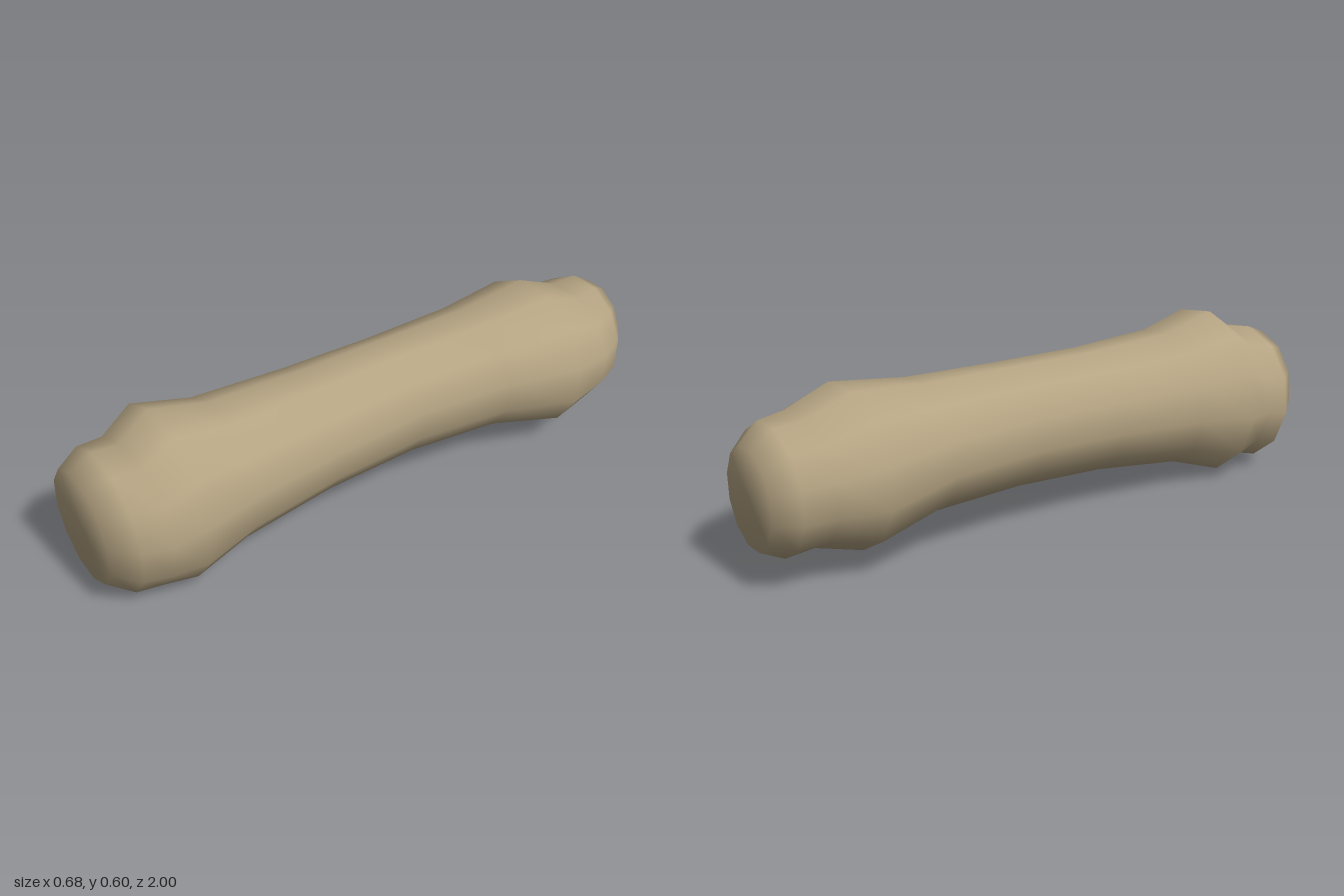
import * as THREE from 'three';

const SIDES = 12;

// Cross-sections from back to front: z, xMin, xMax, yMin, yMax, twist in degrees
const SECTIONS = [
  [-1.0, -0.06, 0.21, 0.14, 0.46, 14],
  [-0.92, -0.10, 0.28, 0.095, 0.51, 14],
  [-0.82, -0.125, 0.32, 0.10, 0.515, 14],
  [-0.67, -0.18, 0.34, 0.055, 0.575, 13],
  [-0.42, -0.165, 0.26, 0.12, 0.55, 11],
  [-0.1, -0.18, 0.20, 0.13, 0.545, 10],
  [0.22, -0.225, 0.18, 0.115, 0.54, 9],
  [0.54, -0.28, 0.18, 0.07, 0.55, 8],
  [0.73, -0.34, 0.20, 0.0, 0.60, 7],
  [0.84, -0.315, 0.18, 0.035, 0.525, 7],
  [0.92, -0.325, 0.13, 0.015, 0.515, 7],
  [1.0, -0.27, 0.07, 0.08, 0.48, 7],
];

// Skins the rings into one smooth closed shaft with knobbed ends
function loftGeometry(sections) {
  const positions = [];
  const index = [];

  for (const [z, x0, x1, y0, y1, twist] of sections) {
    const ring = [];
    for (let i = 0; i < SIDES; i++) {
      const a = THREE.MathUtils.degToRad(twist) + (i / SIDES) * Math.PI * 2;
      ring.push([Math.cos(a), Math.sin(a)]);
    }
    // Stretch the faceted ring so it reaches its full width and height
    const mx = Math.max(...ring.map((p) => p[0]));
    const my = Math.max(...ring.map((p) => p[1]));
    for (const [c, s] of ring) {
      positions.push(
        (x0 + x1) / 2 + (c / mx) * (x1 - x0) / 2,
        (y0 + y1) / 2 + (s / my) * (y1 - y0) / 2,
        z
      );
    }
  }

  for (let r = 0; r < sections.length - 1; r++) {
    for (let i = 0; i < SIDES; i++) {
      const j = (i + 1) % SIDES;
      const a = r * SIDES + i, b = r * SIDES + j;
      index.push(a, b, b + SIDES, a, b + SIDES, a + SIDES);
    }
  }

  // End caps as fans around a centre point
  const last = sections.length - 1;
  for (const r of [0, last]) {
    const [z, x0, x1, y0, y1] = sections[r];
    const centre = positions.length / 3;
    positions.push((x0 + x1) / 2, (y0 + y1) / 2, z);
    for (let i = 0; i < SIDES; i++) {
      const a = r * SIDES + i, b = r * SIDES + ((i + 1) % SIDES);
      if (r === 0) index.push(centre, b, a);
      else index.push(centre, a, b);
    }
  }

  const geometry = new THREE.BufferGeometry();
  geometry.setAttribute('position', new THREE.Float32BufferAttribute(positions, 3));
  geometry.setIndex(index);
  geometry.computeVertexNormals();
  return geometry;
}

export function createModel() {
  const group = new THREE.Group();
  group.name = 'bone';

  const boneTan = new THREE.MeshStandardMaterial({ color: 0xb5a483 });
  boneTan.name = 'bone tan';

  const shaft = new THREE.Mesh(loftGeometry(SECTIONS), boneTan);
  shaft.name = 'boneShaft';
  group.add(shaft);

  return group;
}
